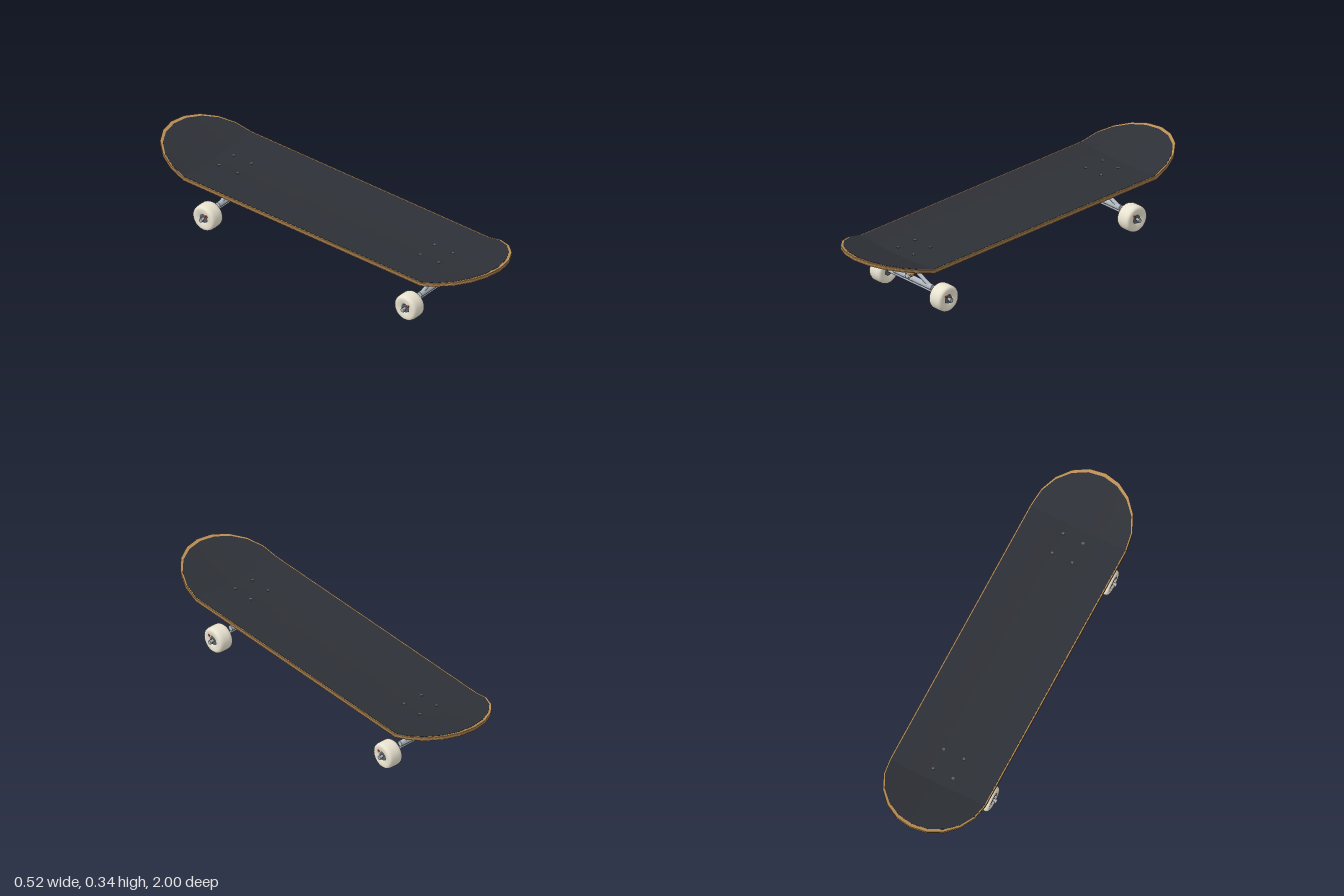
import * as THREE from 'three';
import { toCreasedNormals } from 'three/addons/utils/BufferGeometryUtils.js';

const mat = (color) => new THREE.MeshStandardMaterial({ color });
const METAL = mat(0xb0b8c0), DARK = mat(0x5a6068), ORANGE = mat(0xe88a20);
const CREAM = mat(0xe8e2d0), RED = mat(0xc0452f), TEAL = mat(0x1f8f88);
const WOOD = mat(0xb98d55), PLY = mat(0x7d5a36), GRIP = mat(0x2d3036);

const HALF = 0.255, FLAT = 0.72, BASE = 0.233, THICK = 0.019;

// Underside height: raised side edges, straight kicks at both ends
const deckY = (x, z) =>
  BASE + 0.013 * (x / HALF) ** 2 + 0.3 * Math.max(0, Math.abs(z) - FLAT);

function add(parent, name, geometry, material, x = 0, y = 0, z = 0) {
  const mesh = new THREE.Mesh(geometry, material);
  mesh.name = name;
  mesh.position.set(x, y, z);
  parent.add(mesh);
  return mesh;
}

// Surface through rows of points; each row has the same count
function loft(rows, closed = false) {
  const n = rows[0].length, index = [];
  for (let i = 0; i < rows.length - 1; i++) {
    for (let j = 0; j < (closed ? n : n - 1); j++) {
      const k = (j + 1) % n;
      const a = i * n + j, b = i * n + k, c = a + n, d = b + n;
      index.push(a, c, b, b, c, d);
    }
  }
  const g = new THREE.BufferGeometry();
  g.setAttribute('position', new THREE.Float32BufferAttribute(rows.flat(2), 3));
  g.setIndex(index);
  return toCreasedNormals(g, 0.2);
}

// Deck-shaped sheet between two heights above the underside
function sheet(low, high, half, cap) {
  const stations = [];
  for (let i = 0; i <= 5; i++) {
    const a = (i / 5) * Math.PI / 2;
    stations.push([FLAT + cap * Math.cos(a), half * Math.sin(a)]);
  }
  const all = [...stations.map(([z, w]) => [-z, w]), ...stations.reverse()];
  const N = 16;
  return loft(all.map(([z, w]) => {
    const top = [], bottom = [];
    for (let j = 0; j <= N; j++) {
      const x = w * (2 * j / N - 1), y = deckY(x, z);
      top.push([x, y + high, z]);
      bottom.unshift([x, y + low, z]);
    }
    return [...top, ...bottom];
  }), true);
}

// Painted patch under the deck, between two [x, z] edges running from front to back
function decal(left, right, gap) {
  const at = (chain, z) => {
    const i = Math.max(1, chain.findIndex((p) => p[1] <= z));
    const [p, q] = [chain[i - 1], chain[i]];
    return p[0] + (q[0] - p[0]) * (p[1] - z) / (p[1] - q[1]);
  };
  const zs = [...new Set([...left, ...right].map((p) => p[1]))].sort((a, b) => b - a);
  return loft(zs.map((z) => {
    const r = at(right, z), l = at(left, z);
    return Array.from({ length: 17 }, (_, j) => {
      const x = r + (l - r) * j / 16;
      return [x, deckY(x, z) - gap, z];
    });
  }));
}

function createDeck() {
  const deck = new THREE.Group();
  deck.name = 'deck';
  for (let i = 0; i < 5; i++) {
    add(deck, 'plyLayer', sheet(THICK * i / 5, THICK * (i + 1) / 5, HALF, 0.28), i % 2 ? PLY : WOOD);
  }
  add(deck, 'gripSheet', sheet(THICK, THICK + 0.001, 0.249, 0.262), GRIP);

  // Underside artwork: slanted panel, zigzag and short stripes
  add(deck, 'panelArt', decal(
    [[0.2, 0.52], [0.2, -0.36], [-0.2, -0.52]],
    [[0.2, 0.52], [-0.2, 0.36], [-0.2, -0.52]], 0.001), TEAL);
  add(deck, 'zigzagArt', decal(
    [[0.12, 0.39], [0.03, 0.04], [0.13, -0.02], [0, -0.36], [-0.12, -0.4]],
    [[0.12, 0.39], [-0.15, -0.01], [-0.05, -0.05], [-0.12, -0.4]], 0.002), RED);
  for (const z of [0.385, 0.265, -0.12, -0.225]) {
    add(deck, 'stripeArt', decal(
      [[-0.1, z], [-0.1, z - 0.02], [-0.2, z - 0.055]],
      [[-0.1, z], [-0.2, z - 0.035], [-0.2, z - 0.055]], 0.002), WOOD);
  }

  // Mounting bolt heads
  const head = new THREE.CylinderGeometry(0.007, 0.007, 0.004, 10);
  for (const x of [-0.053, 0.053]) for (const z of [-0.665, -0.555, 0.555, 0.665]) {
    add(deck, 'boltHead', head, DARK, x, deckY(x, z) + THICK + 0.001, z);
  }
  return deck;
}

function createWheel(side, end) {
  const wheel = new THREE.Group();
  wheel.name = 'wheel';
  const half = [[0.067, 0.012], [0.066, 0.025], [0.063, 0.033], [0.058, 0.038], [0.05, 0.04], [0.026, 0.038], [0.021, 0.03]];
  const profile = [...half.map(([r, y]) => [r, -y]).reverse(), ...half];
  const along = (name, geometry, material, x, y = 0, z = 0) => {
    add(wheel, name, geometry, material, x * side, y, z).rotation.z = -side * Math.PI / 2;
  };
  along('tyre', new THREE.LatheGeometry(profile.map((p) => new THREE.Vector2(...p)), 32), CREAM, 0);
  along('bearing', new THREE.CylinderGeometry(0.022, 0.022, 0.066, 20), DARK, 0);
  along('axleNut', new THREE.CylinderGeometry(0.011, 0.011, 0.01, 6), METAL, 0.05);
  along('wheelDot', new THREE.CylinderGeometry(0.007, 0.007, 0.003, 12), RED, 0.039, 0.022, 0.022 * end);
  wheel.position.set(0.205 * side, 0.067, 0);
  return wheel;
}

// Truck centred on its axle, outer end towards +z
function createTruck(end) {
  const truck = new THREE.Group();
  truck.name = end > 0 ? 'frontTruck' : 'backTruck';
  add(truck, 'basePlate', new THREE.BoxGeometry(0.152, 0.018, 0.165), METAL, 0, 0.209, 0);
  add(truck, 'pivotCup', new THREE.CylinderGeometry(0.016, 0.016, 0.03, 12), METAL, 0, 0.187, 0.068);

  // Slanted kingpin stack
  const stack = new THREE.Group();
  stack.name = 'kingpinStack';
  stack.position.set(0, 0.155, 0.003);
  stack.rotation.x = -0.76;
  const parts = [
    ['kingpin', 0.008, 0.13, 0, METAL], ['upperBushing', 0.023, 0.036, 0.026, ORANGE],
    ['hangerRing', 0.028, 0.014, 0, METAL], ['lowerBushing', 0.022, 0.036, -0.026, ORANGE],
    ['washer', 0.02, 0.004, -0.046, METAL]];
  for (const [name, r, h, y, m] of parts) {
    add(stack, name, new THREE.CylinderGeometry(r, r, h, 20), m, 0, y, 0);
  }
  add(stack, 'kingpinNut', new THREE.CylinderGeometry(0.014, 0.014, 0.012, 6), METAL, 0, -0.054, 0);
  truck.add(stack);

  // Hanger, axle and braces
  const bar = new THREE.CylinderGeometry(0.0145, 0.0145, 0.26, 12);
  add(truck, 'hanger', bar, METAL, 0, 0.089, 0).rotation.z = Math.PI / 2;
  const axle = new THREE.CylinderGeometry(0.007, 0.007, 0.52, 12);
  add(truck, 'axle', axle, METAL, 0, 0.069, 0).rotation.z = Math.PI / 2;
  for (const side of [-1, 1]) {
    const brace = new THREE.CylinderGeometry(0.01, 0.01, 0.092, 10);
    add(truck, 'brace', brace, METAL, 0.066 * side, 0.114, 0).rotation.z = 1.13 * side;
    truck.add(createWheel(side, end));
  }
  truck.position.z = 0.612 * end;
  truck.rotation.y = end > 0 ? 0 : Math.PI;
  return truck;
}

export function createModel() {
  const model = new THREE.Group();
  model.name = 'skateboard';
  model.add(createDeck(), createTruck(1), createTruck(-1));
  return model;
}
